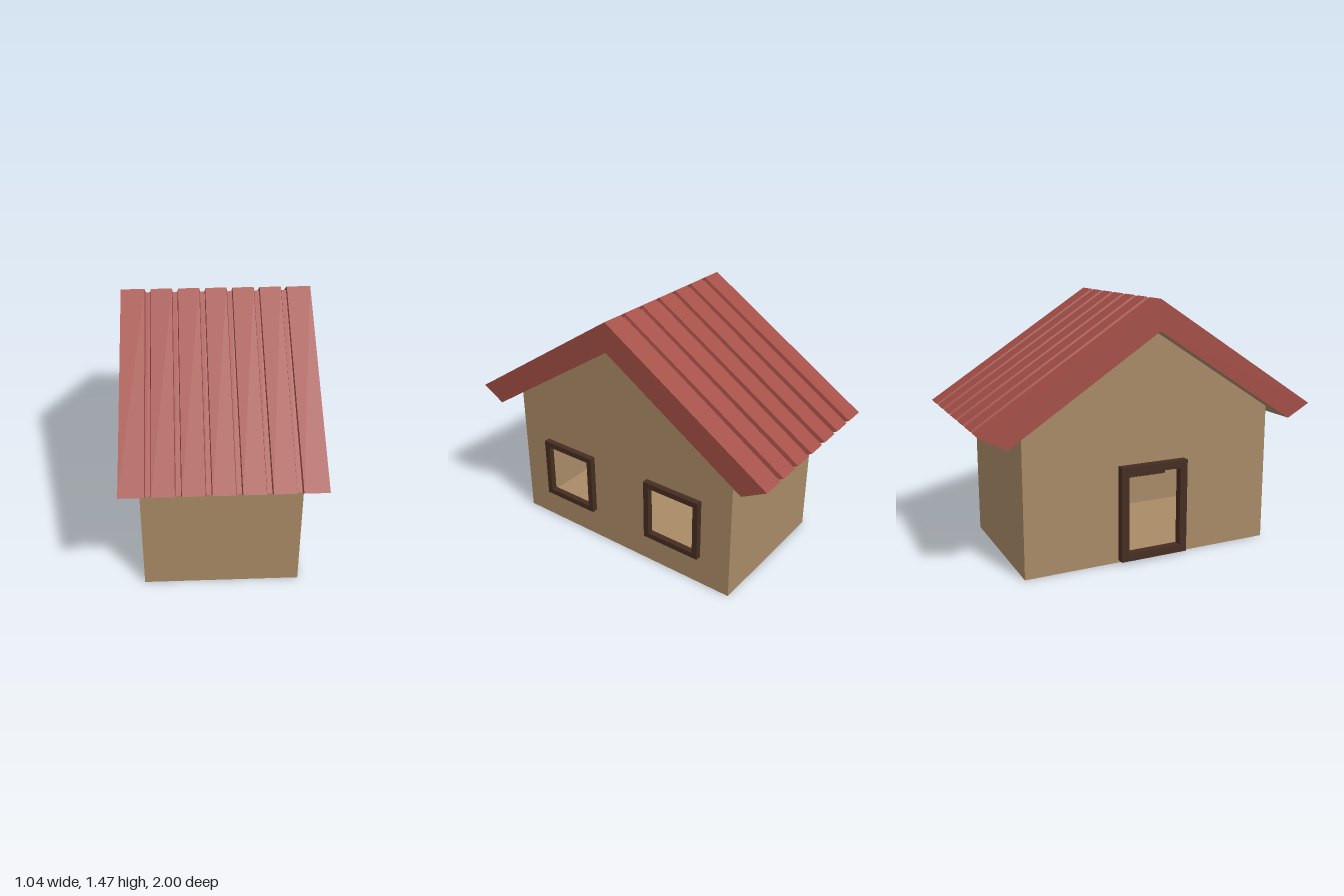
import * as THREE from 'three';

const HALF_X = 0.435, HALF_Z = 0.757;      // wall planes
const ROOF_X = 0.522;                      // roof overhang at the gables
const EAVE = { z: 1, y: 0.825 }, LIP = { z: 0.857, y: 0.748 };
const RIDGE_Y = 1.47, SOFFIT_Y = 1.30;

const paint = (color) => new THREE.MeshStandardMaterial({ color, flatShading: true, side: THREE.DoubleSide });
const soffitY = (z) => SOFFIT_Y - (SOFFIT_Y - LIP.y) * Math.abs(z) / LIP.z;

function mesh(name, geometry, material) {
  const m = new THREE.Mesh(geometry, material);
  m.name = name;
  return m;
}

// Joins rows of [x, y, z] points into a surface of quads
function strip(rows) {
  const n = rows[0].length, index = [];
  for (let r = 0; r < rows.length - 1; r++) {
    for (let i = 0; i < n - 1; i++) {
      const a = r * n + i, d = a + n;
      index.push(a, a + 1, d + 1, a, d + 1, d);
    }
  }
  const g = new THREE.BufferGeometry();
  g.setAttribute('position', new THREE.Float32BufferAttribute(rows.flat(2), 3));
  g.setIndex(index);
  const flat = g.toNonIndexed();
  flat.computeVertexNormals();
  return flat;
}

const polygon = (pts) => new THREE.Shape(pts.map(([x, y]) => new THREE.Vector2(x, y)));

function rectPoints(cx, y0, y1, w, inset = 0) {
  const h = w / 2 - inset;
  return [[cx - h, y0 + inset], [cx + h, y0 + inset], [cx + h, y1 - inset], [cx - h, y1 - inset]];
}

// Turns a shape drawn in (z, y) so that it faces outward on side s at distance x
function placeOnSide(object, s, x) {
  object.rotation.y = s * Math.PI / 2;
  object.position.x = s * x;
  return object;
}

export function createModel() {
  const house = new THREE.Group();
  house.name = 'house';
  const red = paint(0xa34e46), tan = paint(0xa98a66), brown = paint(0x452d21);

  // Openings: two windows on the left gable, one door on the right gable
  const openings = [
    { name: 'windowFrame', side: 1, cx: 0.38, y0: 0.183, y1: 0.553, w: 0.37, border: 0.033, depth: 0.035 },
    { name: 'windowFrame', side: 1, cx: -0.38, y0: 0.183, y1: 0.553, w: 0.37, border: 0.033, depth: 0.035 },
    { name: 'doorFrame', side: -1, cx: 0, y0: 0.015, y1: 0.563, w: 0.41, border: 0.045, depth: 0.046 },
  ];

  for (const s of [1, -1]) {
    // Gable wall with its openings cut through
    const gable = polygon([[-HALF_Z, 0], [HALF_Z, 0], [HALF_Z, soffitY(HALF_Z)], [0, SOFFIT_Y], [-HALF_Z, soffitY(HALF_Z)]]);
    for (const o of openings.filter((o) => o.side === s)) {
      const hole = polygon(rectPoints(o.cx, o.y0, o.y1, o.w, o.border));
      gable.holes.push(hole);
      // Frame around the opening
      const frame = polygon(rectPoints(o.cx, o.y0, o.y1, o.w));
      frame.holes.push(hole);
      const geo = new THREE.ExtrudeGeometry(frame, { depth: o.depth, bevelEnabled: false });
      house.add(placeOnSide(mesh(o.name, geo, brown), s, HALF_X));
    }
    house.add(placeOnSide(mesh('gableWall', new THREE.ShapeGeometry(gable), tan), s, HALF_X));

    // Chevron edge of the roof
    const edge = polygon([[-EAVE.z, EAVE.y], [-LIP.z, LIP.y], [0, SOFFIT_Y], [LIP.z, LIP.y], [EAVE.z, EAVE.y], [0, RIDGE_Y]]);
    house.add(placeOnSide(mesh('roofEdge', new THREE.ShapeGeometry(edge), red), s, ROOF_X));

    // Long side wall
    const h = soffitY(HALF_Z);
    const wall = mesh('sideWall', new THREE.PlaneGeometry(2 * HALF_X, h), tan);
    wall.position.set(0, h / 2, s * HALF_Z);
    if (s < 0) wall.rotation.y = Math.PI;
    house.add(wall);

    // Soffits beneath the overhangs, at the gable and at the eave
    const across = (z, x0, x1) => [[x0, soffitY(z), z], [x1, soffitY(z), z]];
    const [g0, g1] = s > 0 ? [HALF_X, ROOF_X] : [-ROOF_X, -HALF_X];
    house.add(mesh('gableSoffit', strip([-LIP.z, 0, LIP.z].map((z) => across(z, g0, g1))), tan));
    const eaveZ = [s * HALF_Z, s * LIP.z].sort((a, b) => a - b);
    house.add(mesh('eaveSoffit', strip(eaveZ.map((z) => across(z, -HALF_X, HALF_X))), tan));
  }

  // Floor
  const floor = mesh('floor', new THREE.PlaneGeometry(2 * HALF_X, 2 * HALF_Z), tan);
  floor.rotation.x = Math.PI / 2;
  house.add(floor);

  // Roof cross-section along x: flat panels parted by six narrow grooves
  const profile = [[-ROOF_X, 0]];
  for (let i = 0; i < 6; i++) {
    const x = -0.375 + i * 0.15;
    profile.push([x - 0.017, 0], [x - 0.013, 1], [x + 0.013, 1], [x + 0.017, 0]);
  }
  profile.push([ROOF_X, 0]);
  const lip = (s) => profile.map(([x]) => [x, LIP.y, s * LIP.z]);
  const eave = (s) => profile.map(([x, d]) => [x, EAVE.y - 0.013 * d, s * (EAVE.z - 0.025 * d)]);
  const ridge = profile.map(([x, d]) => [x, RIDGE_Y - 0.02 * d, 0]);

  house.add(mesh('roofPanels', strip([lip(1), eave(1), ridge, eave(-1)]), red));
  house.add(mesh('backEave', strip([eave(-1), lip(-1)]), tan));
  return house;
}
